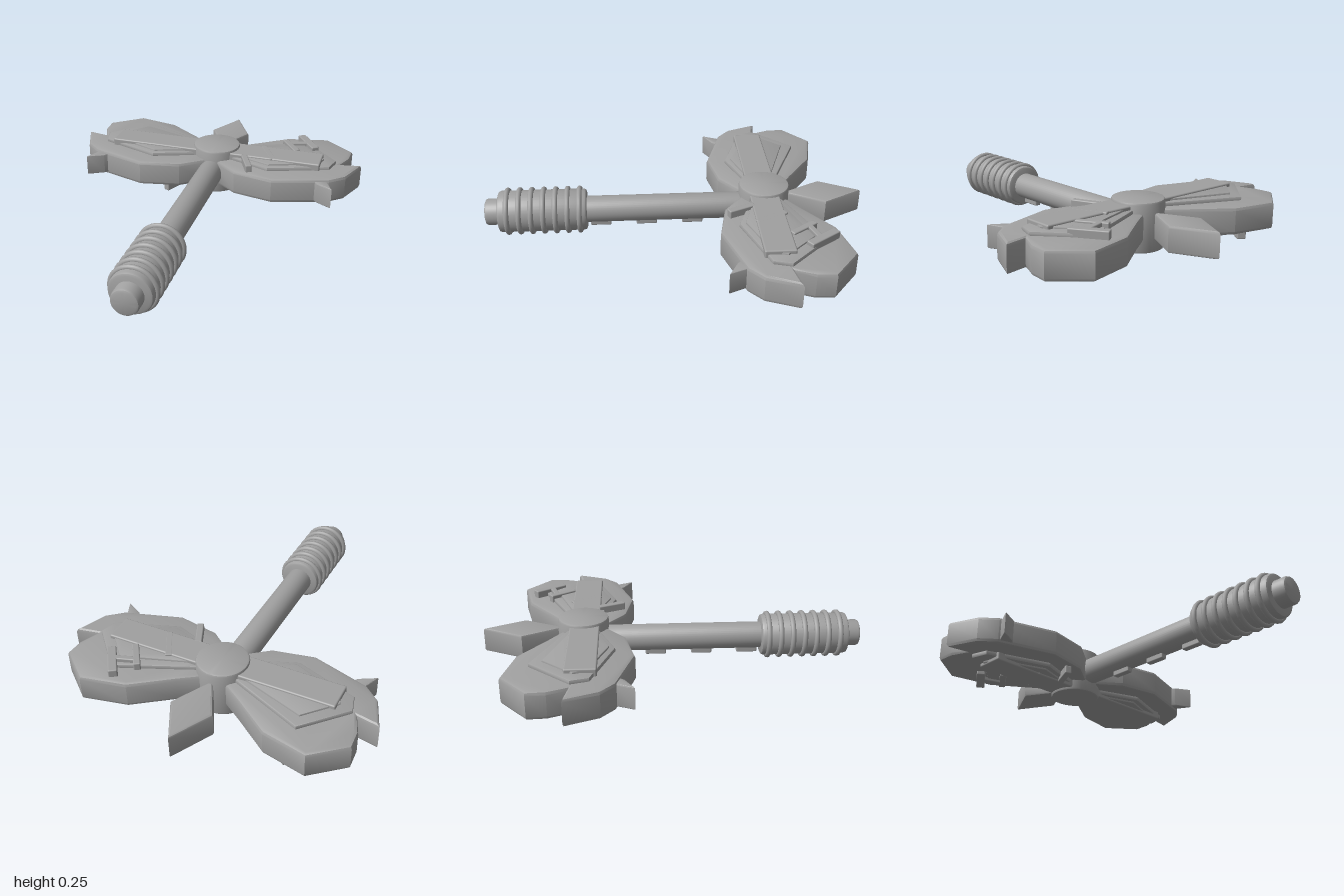
import * as THREE from 'three';
import { toCreasedNormals } from 'three/addons/utils/BufferGeometryUtils.js';
import { RoundedBoxGeometry } from 'three/addons/geometries/RoundedBoxGeometry.js';

const MID = 0.13;    // height of the weapon's central plane
const HEAD_Z = -0.475;

// Right half outlines as [x, z]
const BLADE = [
  [0.03, -0.56], [0.165, -0.65], [0.36, -0.79], [0.59, -0.84], [0.755, -0.705], [0.75, -0.61],
  [0.71, -0.515], [0.825, -0.537], [0.76, -0.37], [0.68, -0.3], [0.38, -0.207], [0.16, -0.25], [0.03, -0.35],
];
const PLATE = [[0.08, -0.54], [0.16, -0.575], [0.49, -0.715], [0.685, -0.51], [0.66, -0.42], [0.335, -0.305], [0.08, -0.40]];
const INNER_PLATE = [[0.08, -0.53], [0.17, -0.545], [0.48, -0.65], [0.62, -0.50], [0.60, -0.435], [0.335, -0.335], [0.08, -0.42]];
const SPIKE = [[0.59, -0.30], [0.66, -0.34], [0.67, -0.30], [0.708, -0.213], [0.62, -0.26]];
const DIAMOND = [[0, -1], [0.112, -0.79], [0, -0.58], [-0.112, -0.79]];

// Raised strokes on a blade: x, z, width, length, turn
const STROKES = [
  [0.497, -0.69, 0.045, 0.19, 0.61],
  [0.41, -0.61, 0.035, 0.16, 0.61],
  [0.45, -0.66, 0.03, 0.12, -1.25],
  [0.305, -0.47, 0.035, 0.18, 0.5],
  [0.21, -0.33, 0.035, 0.15, 0.42],
];

export function createModel() {
  const root = new THREE.Group();
  const metal = new THREE.MeshStandardMaterial({ color: 0xa0a0a0 });
  metal.name = 'grey metal';

  const add = (name, geometry, parent = root) => {
    const mesh = new THREE.Mesh(geometry, metal);
    mesh.name = name;
    parent.add(mesh);
    return mesh;
  };

  // Bevelled slab lying flat between two heights
  const slab = (name, points, y0, y1, bevel, side = 1) => {
    const shape = new THREE.Shape(points.map(([x, z]) => new THREE.Vector2(x * side, -z)));
    const geometry = new THREE.ExtrudeGeometry(shape, {
      depth: y1 - y0 - 2 * bevel, bevelThickness: bevel, bevelSize: bevel, bevelOffset: -bevel, bevelSegments: 2,
    });
    geometry.rotateX(-Math.PI / 2).translate(0, y0 + bevel, 0);
    return add(name, toCreasedNormals(geometry, 0.5));
  };

  // Solid of revolution with rounded rims, along y
  const rod = (radius, from, to, b) => toCreasedNormals(new THREE.LatheGeometry([
    [0, from], [radius - b, from], [radius - b * 0.3, from + b * 0.3], [radius, from + b],
    [radius, to - b], [radius - b * 0.3, to - b * 0.3], [radius - b, to], [0, to],
  ].map(([x, y]) => new THREE.Vector2(x, y)), 40), 0.5);

  // Handle and grip
  const handle = new THREE.Group();
  handle.name = 'handle';
  handle.rotation.x = Math.PI / 2;
  handle.position.y = MID;
  root.add(handle);
  add('shaft', rod(0.07, HEAD_Z, 1, 0.015), handle);
  add('grip', rod(0.11, 0.465, 0.93, 0.015), handle);
  for (let i = 0; i < 7; i++) {
    const ring = add('gripRing', new THREE.TorusGeometry(0.112, 0.014, 10, 40), handle);
    ring.rotation.x = Math.PI / 2;
    ring.position.y = 0.503 + i * 0.063;
  }

  // Small tabs under the shaft
  for (const z of [0.395, 0.15, -0.095]) {
    add('shaftTab', new RoundedBoxGeometry(0.035, 0.035, 0.11, 2, 0.006)).position.set(0, 0.053, z);
  }

  // Hub, rear point and crossbar
  add('hub', rod(0.133, 0.003, 0.257, 0.012)).position.z = HEAD_Z;
  slab('rearPoint', DIAMOND, 0.07, 0.2, 0.012);
  add('crossbar', new RoundedBoxGeometry(1.22, 0.224, 0.155, 2, 0.008)).position.set(0, MID, -0.465);

  // Blades with plates on both faces
  for (const side of [1, -1]) {
    slab('blade', BLADE, 0.06, 0.203, 0.018, side);
    slab('bladeSpike', SPIKE, 0.075, 0.19, 0.006, side);
    slab('upperPlate', PLATE, 0.19, 0.222, 0.007, side);
    slab('upperInnerPlate', INNER_PLATE, 0.2, 0.232, 0.005, side);
    slab('lowerPlate', PLATE, 0.038, 0.07, 0.007, side);
    slab('lowerInnerPlate', INNER_PLATE, 0.028, 0.06, 0.005, side);
  }

  // Raised strokes, above on the left blade and below on the right one
  for (const side of [1, -1]) {
    const strokes = new THREE.Group();
    strokes.name = side > 0 ? 'upperStrokes' : 'lowerStrokes';
    strokes.position.y = MID;
    strokes.rotation.z = side > 0 ? 0 : Math.PI;
    root.add(strokes);
    for (const [x, z, w, l, turn] of STROKES) {
      const stroke = add('stroke', new RoundedBoxGeometry(w, 0.045, l, 2, 0.006), strokes);
      stroke.position.set(x, 0.09, z);
      stroke.rotation.y = turn;
    }
  }
  return root;
}
